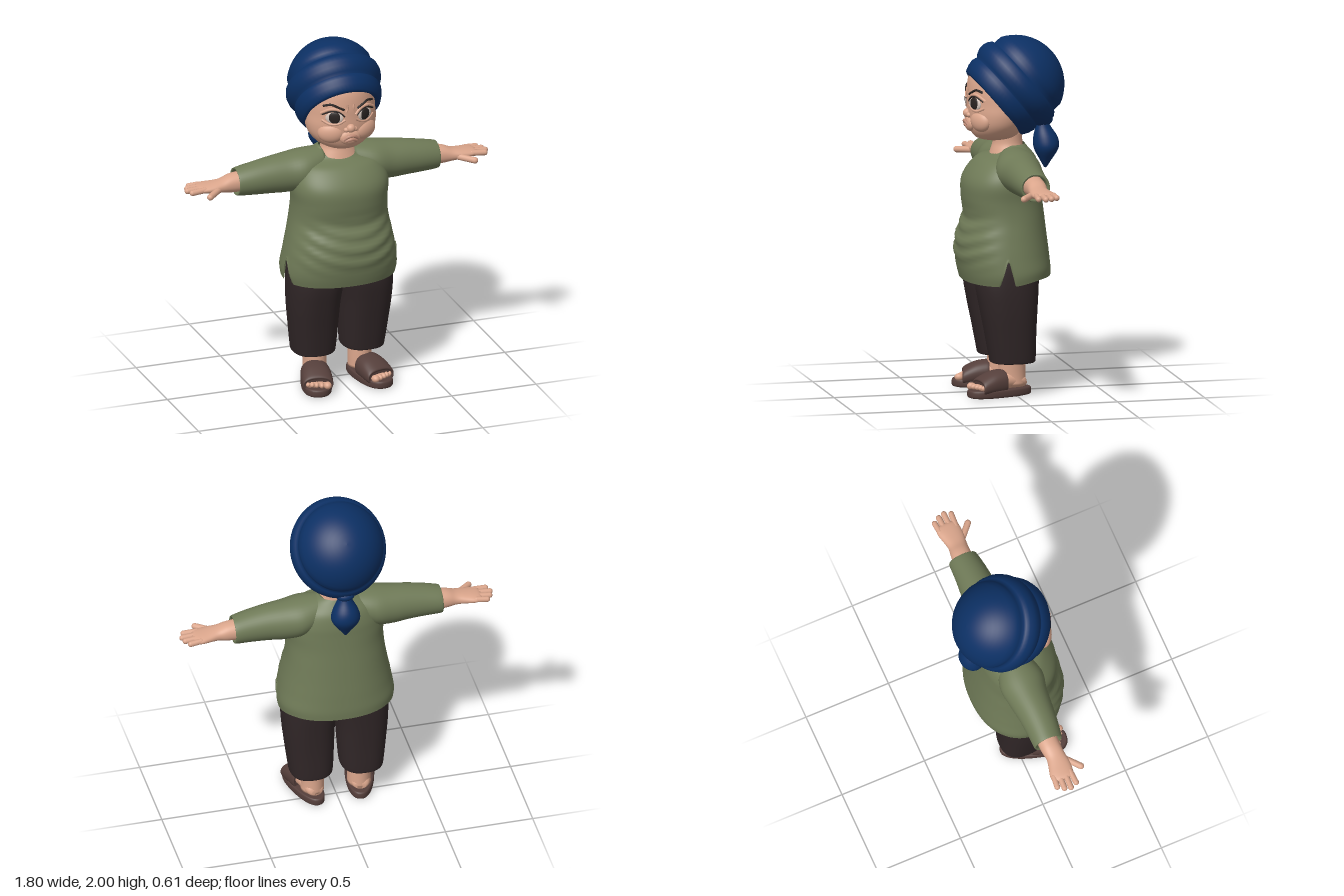
import * as THREE from 'three';

const { smoothstep } = THREE.MathUtils;

function material(name, color) {
  const m = new THREE.MeshStandardMaterial({ color });
  m.name = name;
  return m;
}

// Smooth skin through rows [s, a0, a1, b0, b1]; s runs along the axis, a and b are the extents across it.
function loft(rows, { axis = 'y', n = 2, sides = 40, steps = 4, start = true, end = true, warp } = {}) {
  const rings = [];
  for (let k = 0; k < rows.length - 1; k++) {
    const p = [rows[Math.max(k - 1, 0)], rows[k], rows[k + 1], rows[Math.min(k + 2, rows.length - 1)]];
    const last = k === rows.length - 2 ? 1 : 0;
    for (let i = 0; i < steps + last; i++) {
      const t = i / steps;
      rings.push(rows[0].map((_, c) => {
        const [p0, p1, p2, p3] = p.map(r => r[c]);
        return p1 + 0.5 * t * (p2 - p0 + t * (2 * p0 - 5 * p1 + 4 * p2 - p3 + t * (3 * (p1 - p2) + p3 - p0)));
      }));
    }
  }
  const pos = [], idx = [];
  const put = (a, s, b) => {
    const v = axis === 'y' ? new THREE.Vector3(a, s, b)
      : axis === 'x' ? new THREE.Vector3(s, b, a) : new THREE.Vector3(b, a, s);
    if (warp) warp(v);
    pos.push(v.x, v.y, v.z);
  };
  const bend = c => Math.sign(c) * Math.abs(c) ** (2 / n);
  for (const [s, a0, a1, b0, b1] of rings) {
    for (let j = 0; j < sides; j++) {
      const t = j / sides * Math.PI * 2;
      put((a0 + a1) / 2 + (a1 - a0) / 2 * bend(Math.cos(t)), s, (b0 + b1) / 2 + (b1 - b0) / 2 * bend(Math.sin(t)));
    }
  }
  for (let i = 0; i < rings.length - 1; i++) {
    for (let j = 0; j < sides; j++) {
      const a = i * sides + j, b = i * sides + (j + 1) % sides, c = a + sides, d = b + sides;
      idx.push(a, c, b, b, c, d);
    }
  }
  const cap = (i, flip) => {
    const [s, a0, a1, b0, b1] = rings[i];
    const mid = pos.length / 3;
    put((a0 + a1) / 2, s, (b0 + b1) / 2);
    for (let j = 0; j < sides; j++) {
      const p = i * sides + j, q = i * sides + (j + 1) % sides;
      idx.push(mid, flip ? q : p, flip ? p : q);
    }
  };
  if (start) cap(0, false);
  if (end) cap(rings.length - 1, true);
  const g = new THREE.BufferGeometry();
  g.setAttribute('position', new THREE.Float32BufferAttribute(pos, 3));
  g.setIndex(idx);
  g.computeVertexNormals();
  return g;
}

const ball = (x, y, z, rx, ry, rz, yaw = 0) =>
  new THREE.SphereGeometry(1, 28, 18).scale(rx, ry, rz).rotateY(yaw).translate(x, y, z);

function tube(points, r) {
  const curve = new THREE.CatmullRomCurve3(points.map(p => new THREE.Vector3(...p)));
  return new THREE.TubeGeometry(curve, 16, r, 8);
}

function finger(from, to, r) {
  const a = new THREE.Vector3(...from), d = new THREE.Vector3(...to).sub(a), len = d.length();
  const q = new THREE.Quaternion().setFromUnitVectors(new THREE.Vector3(0, 1, 0), d.normalize());
  return new THREE.CapsuleGeometry(r, len - r, 6, 12).translate(0, len / 2 - r / 2, 0)
    .applyQuaternion(q).translate(...a.toArray());
}

function mirrored(geo) {
  const g = geo.clone().scale(-1, 1, 1), ix = g.index;
  for (let i = 0; i < ix.count; i += 3) {
    const b = ix.getX(i + 1);
    ix.setX(i + 1, ix.getX(i + 2));
    ix.setX(i + 2, b);
  }
  return g;
}

export function createModel() {
  const model = new THREE.Group();
  model.name = 'figure';
  const skin = material('skin', 0xdba68c), lip = material('lip', 0xc28d78);
  const blue = material('headwrap blue', 0x0c3064), green = material('tunic green', 0x6f7a57);
  const brown = material('trouser brown', 0x302627), leather = material('sandal brown', 0x553f3b);
  const dark = material('eye dark', 0x2a2422), white = material('eye white', 0xd8c8be);
  green.side = blue.side = THREE.DoubleSide;

  const add = (name, geo, mat) => {
    const m = new THREE.Mesh(geo, mat);
    m.name = name;
    model.add(m);
  };
  const pair = (name, geo, mat) => {
    add('left ' + name, geo, mat);
    add('right ' + name, mirrored(geo), mat);
  };

  // Head and neck
  add('head', loft([
    [1.422, -.04, .04, .04, .13], [1.438, -.1, .1, -.03, .185], [1.47, -.15, .15, -.06, .213],
    [1.52, -.188, .188, -.09, .23], [1.58, -.203, .203, -.11, .236], [1.64, -.2, .2, -.12, .236],
    [1.7, -.195, .195, -.12, .236], [1.78, -.18, .18, -.12, .224], [1.84, -.15, .15, -.1, .185],
    [1.89, -.06, .06, -.03, .1]], { sides: 56 }), skin);
  add('neck', loft([[1.32, -.13, .13, -.08, .115], [1.37, -.105, .105, -.078, .1],
    [1.41, -.09, .09, -.075, .09], [1.47, -.09, .09, -.07, .09]]), skin);

  // Face
  const faceZ = x => .06 + .176 * Math.sqrt(1 - (x / .2) ** 2);
  const onFace = (pts, lift) => pts.map(([x, y]) => [x, y, faceZ(x) + lift]);
  pair('eye', ball(.09, 1.643, faceZ(.09) - .002, .05, .034, .009, .45), white);
  pair('iris', ball(.09, 1.645, faceZ(.09) + .002, .034, .034, .009, .45), dark);
  pair('lash line', tube(onFace([[.036, 1.65], [.06, 1.675], [.1, 1.685], [.15, 1.66]], .004), .005), dark);
  pair('upper lid', tube(onFace([[.03, 1.655], [.06, 1.686], [.105, 1.694], [.155, 1.665]], 0), .009), skin);
  pair('lower lid', tube(onFace([[.03, 1.628], [.07, 1.606], [.11, 1.604], [.15, 1.625]], -.002), .008), skin);
  pair('eyebrow', tube(onFace([[.038, 1.69], [.07, 1.706], [.105, 1.722], [.145, 1.712]], .002), .0065), dark);
  pair('frown crease', tube(onFace([[.02, 1.72], [.017, 1.695], [.026, 1.675]], -.001), .006), skin);
  pair('cheek', ball(.1, 1.545, .185, .075, .06, .04, .45), skin);
  add('nose', ball(0, 1.578, .238, .026, .025, .024), skin);
  pair('nostril', ball(.024, 1.57, .232, .017, .015, .017), skin);
  add('muzzle', ball(0, 1.52, .222, .062, .045, .028), skin);
  add('upper lip', tube([[-.042, 1.514, .24], [-.015, 1.533, .251], [.015, 1.533, .251], [.042, 1.514, .24]], .0095), lip);
  add('lower lip', tube([[-.032, 1.504, .24], [0, 1.514, .25], [.032, 1.504, .24]], .0095), lip);

  // Headwrap: two rolls and a dome turned around a backward-leaning axis
  const wrap = [[.15, -.125], [.195, -.15], [.215, -.168], [.236, -.162], [.252, -.13], [.26, -.095], [.255, -.072],
    [.251, -.066], [.264, -.055], [.28, -.025], [.284, .005], [.277, .037], [.262, .056], [.25, .062], [.25, .085]];
  for (let a = 24; a <= 90; a += 6) {
    const t = THREE.MathUtils.degToRad(a);
    wrap.push([Math.max(.273 * Math.cos(t), 0), .27 * Math.sin(t)]);
  }
  add('headwrap', new THREE.LatheGeometry(wrap.map(p => new THREE.Vector2(...p)), 64)
    .scale(.955, 1, 1).rotateX(-.877).translate(0, 1.73, -.04), blue);
  add('headwrap knot', ball(0, 1.522, -.2, .056, .034, .05), blue);
  add('headwrap tail', loft([[1.25, -.006, .006, -.215, -.203], [1.29, -.035, .035, -.24, -.18],
    [1.36, -.08, .08, -.282, -.145], [1.42, -.072, .072, -.278, -.142], [1.48, -.042, .042, -.24, -.155],
    [1.52, -.03, .03, -.22, -.17]]), blue);

  // Tunic with neckline dip, draped folds, sloping hem and side slits
  const drape = v => {
    const front = smoothstep(v.z, .05, .25);
    const sag = v.y - 1.1 * (v.x - .04) ** 2;
    v.z += .007 * front * Math.sin(sag * 75) * smoothstep(v.y, .7, .82) * (1 - smoothstep(v.y, .96, 1.06));
    v.y -= .04 * smoothstep(v.z, 0, .09) * smoothstep(v.y, 1.3, 1.4);
    v.y += .03 * smoothstep(-v.z, -.08, .15) * (1 - smoothstep(v.y, .64, .8));
    if (Math.abs(v.x) > .2 && v.y < .8) v.y = Math.max(v.y, .8 - 3.8 * Math.abs(v.z - .08));
  };
  add('tunic', loft([
    [.64, -.323, .323, -.22, .268], [.7, -.33, .33, -.22, .283], [.8, -.316, .316, -.212, .298],
    [.9, -.297, .297, -.2, .284], [1, -.279, .279, -.188, .252], [1.1, -.272, .272, -.176, .262],
    [1.19, -.278, .278, -.167, .26], [1.26, -.262, .262, -.16, .225], [1.33, -.215, .215, -.14, .16],
    [1.38, -.14, .14, -.1, .108], [1.4, -.102, .102, -.085, .092]],
  { n: 2.25, sides: 144, steps: 5, start: false, end: false, warp: drape }), green);
  pair('sleeve', loft([
    [.08, -.09, .08, 1.24, 1.395], [.2, -.13, .125, 1.17, 1.39], [.3, -.12, .11, 1.155, 1.378],
    [.4, -.105, .1, 1.16, 1.365], [.5, -.096, .09, 1.164, 1.347], [.585, -.092, .076, 1.168, 1.328],
    [.594, -.085, .07, 1.175, 1.321], [.585, -.075, .06, 1.185, 1.312], [.54, -.07, .055, 1.19, 1.31]],
  { axis: 'x', end: false }), green);

  // Arms and hands
  pair('forearm and palm', loft([
    [.5, -.068, .052, 1.19, 1.31], [.62, -.064, .05, 1.193, 1.298], [.68, -.056, .052, 1.202, 1.277],
    [.73, -.066, .058, 1.208, 1.268], [.78, -.078, .056, 1.214, 1.262], [.81, -.072, .05, 1.22, 1.257],
    [.825, -.05, .03, 1.228, 1.25]], { axis: 'x', n: 2.2 }), skin);
  [[-.06, .866, -.067], [-.028, .888, -.032], [.005, .898, .003], [.036, .882, .042]].forEach(([z, tx, tz], i) =>
    pair('finger ' + (i + 1), finger([.79, 1.24, z], [tx, 1.234, tz], .0165), skin));
  pair('thumb', finger([.705, 1.232, .035], [.798, 1.222, .118], .018), skin);

  // Trousers
  pair('trouser leg', loft([
    [.215, .06, .235, -.08, .11], [.195, .045, .25, -.1, .13], [.192, .03, .262, -.108, .14],
    [.22, .022, .268, -.112, .146], [.36, .014, .284, -.114, .172], [.5, .007, .297, -.12, .2],
    [.64, -.01, .3, -.128, .222], [.78, -.02, .285, -.13, .21], [.9, -.02, .24, -.1, .18]],
  { n: 2.5, sides: 48 }), brown);

  // Legs, feet and sandals, toes turned out
  pair('ankle', loft([[.06, .068, .2, -.062, .09], [.14, .068, .198, -.06, .09], [.3, .07, .21, -.06, .09]]), skin);
  const turnOut = g => g.rotateY(.22).translate(.158, 0, .092);
  pair('foot', turnOut(loft([
    [-.155, .05, .085, -.03, .03], [-.13, .04, .12, -.052, .052], [-.04, .035, .14, -.06, .06],
    [.04, .035, .12, -.07, .07], [.1, .035, .088, -.072, .072], [.135, .038, .07, -.062, .062]],
  { axis: 'z' })), skin);
  [-.05, -.018, .01, .034, .056].forEach((x, i) =>
    pair('toe ' + (i + 1), turnOut(ball(x, .058, .15 - i * .009, i ? .015 : .022, i ? .017 : .021, .026)), skin));
  pair('sandal sole', turnOut(loft([
    [0, -.07, .07, -.178, .178], [.008, -.08, .08, -.19, .19], [.036, -.08, .08, -.19, .19],
    [.045, -.073, .073, -.182, .182]],
  { n: 2.4, warp: v => { v.x *= 1 + .9 * v.z; } })), leather);
  pair('sandal strap', turnOut(loft([
    [-.015, .02, .13, -.066, .066], [-.018, .01, .147, -.078, .078], [.01, .005, .148, -.083, .083],
    [.06, .005, .138, -.087, .087], [.11, .005, .115, -.087, .087], [.13, .01, .1, -.083, .083],
    [.127, .02, .088, -.073, .073]], { axis: 'z', n: 2.3 })), leather);

  return model;
}
